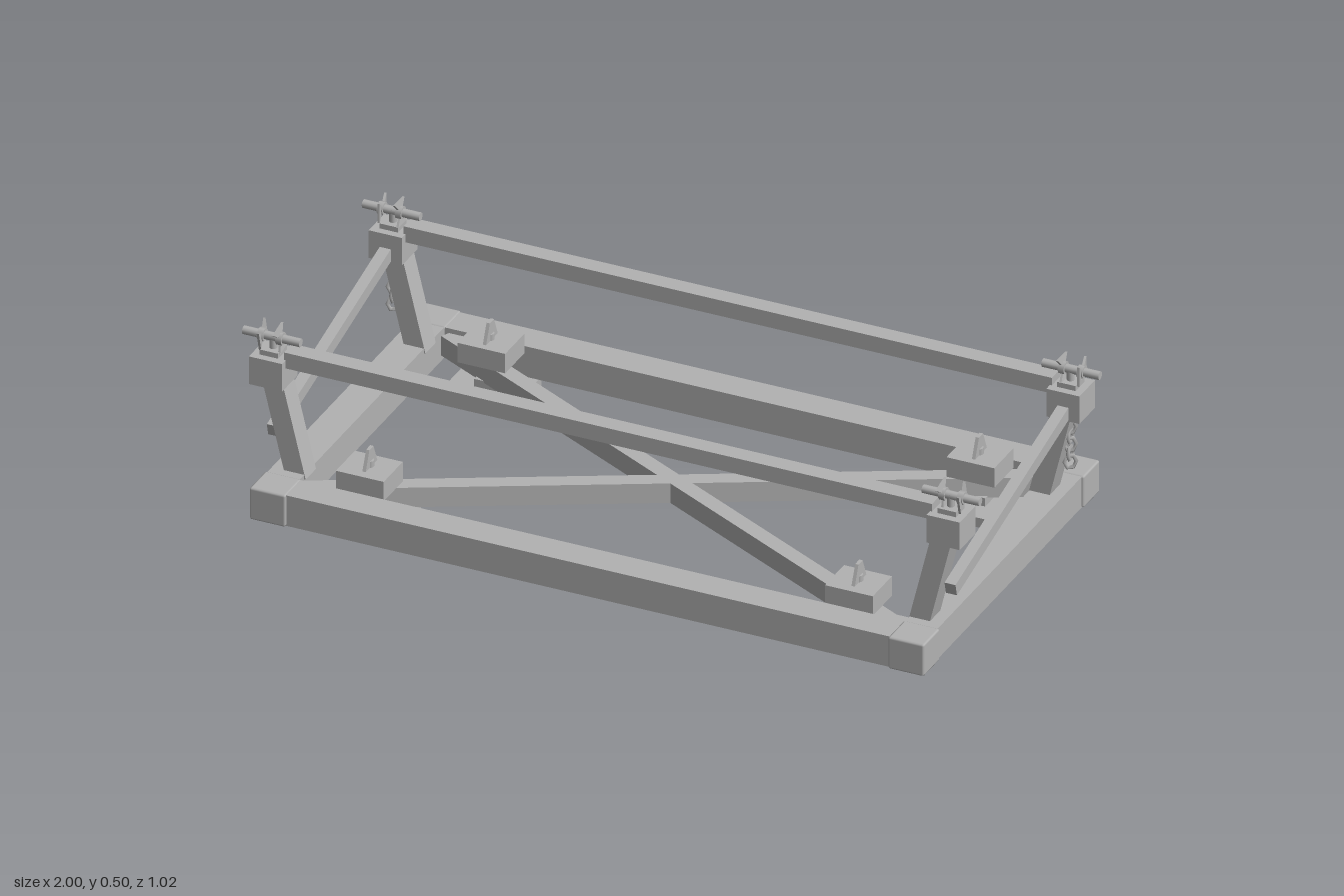
import * as THREE from 'three';
import { RoundedBoxGeometry } from 'three/addons/geometries/RoundedBoxGeometry.js';

const steel = new THREE.MeshStandardMaterial({ color: 0xb2b2b2 });
steel.name = 'grey steel';

export function createModel() {
  const model = new THREE.Group();
  model.name = 'supportFrame';

  const add = (name, geometry, x = 0, y = 0, z = 0, parent = model) => {
    const mesh = new THREE.Mesh(geometry, steel);
    mesh.name = name;
    mesh.position.set(x, y, z);
    parent.add(mesh);
    return mesh;
  };
  // Box given by its minimum and maximum corners
  const box = (name, x0, x1, y0, y1, z0, z1) =>
    add(name, new THREE.BoxGeometry(x1 - x0, y1 - y0, z1 - z0),
      (x0 + x1) / 2, (y0 + y1) / 2, (z0 + z1) / 2);

  // Thin plate cut from a polygon, facing along x
  const plate = (points, thickness) => {
    const shape = new THREE.Shape(points.map(([z, y]) => new THREE.Vector2(-z, y)));
    return new THREE.ExtrudeGeometry(shape, { depth: thickness, bevelEnabled: false })
      .translate(0, 0, -thickness / 2).rotateY(Math.PI / 2);
  };

  // Wing nut: hub with two flared wings
  const wing = plate([[0.007, 0.006], [-0.007, 0.006], [-0.027, 0.03], [0.027, 0.03]], 0.006);
  const hub = new THREE.CylinderGeometry(0.017, 0.017, 0.016, 8).rotateZ(Math.PI / 2);
  const wingNut = (x, y, z, turn, flare) => {
    const nut = new THREE.Group();
    nut.name = 'wingNut';
    nut.position.set(x, y, z);
    nut.rotation.x = turn;
    add('nutHub', hub, 0, 0, 0, nut);
    for (const a of [0, Math.PI]) {
      const w = add('nutWing', wing, 0, 0, 0, nut);
      w.rotation.set(a, 0, a ? -flare : flare);
    }
    model.add(nut);
  };

  // Rectangular base with corner blocks
  for (const s of [-1, 1]) {
    add('longBaseBeam', new THREE.BoxGeometry(1.66, 0.086, 0.084), 0, 0.07, s * 0.459);
    add('endBaseBeam', new THREE.BoxGeometry(0.088, 0.086, 0.84), s * 0.866, 0.07, 0);
    for (const t of [-1, 1]) {
      add('cornerBlock', new RoundedBoxGeometry(0.098, 0.09, 0.094, 1, 0.006),
        s * 0.867, 0.07, t * 0.461);
    }
    // Crossed floor braces
    const brace = add('crossBrace', new THREE.BoxGeometry(1.82, 0.055, 0.044), 0, 0.0725, 0);
    brace.rotation.y = s * Math.atan2(0.42, 0.82);
  }

  // Feet with clamp blocks and wing bolts
  const boltFin = plate([[-0.034, 0], [0.034, 0], [0.012, 0.052], [-0.012, 0.052]], 0.009);
  for (const s of [-1, 1]) for (const t of [-1, 1]) {
    const x = s * 0.664, z = t * 0.347;
    add('footPlate', new THREE.BoxGeometry(0.196, 0.027, 0.176), x, 0.0135, z);
    add('footStem', new THREE.BoxGeometry(0.06, 0.03, 0.06), x, 0.035, z);
    add('clampBlock', new THREE.BoxGeometry(0.13, 0.055, 0.11), x, 0.1275, t * 0.35);
    add('clampBolt', new THREE.CylinderGeometry(0.011, 0.011, 0.02, 10), x, 0.162, z);
    add('clampFin', boltFin, x, 0.154, z);
  }

  // Post leans outward: a box sheared along x
  const postGeometry = (s) => {
    const g = new THREE.BoxGeometry(0.056, 0.27, 0.06).translate(0, 0.135, 0);
    const p = g.attributes.position;
    for (let i = 0; i < p.count; i++) p.setX(i, p.getX(i) + s * 0.245 * p.getY(i));
    g.computeVertexNormals();
    return g;
  };

  const railRows = [{ z: 0.36, tilt: 0.25 }, { z: -0.33, tilt: 0 }];
  for (const { z, tilt } of railRows) {
    box('topRail', -0.88, 0.88, 0.398, 0.442, z - 0.024, z + 0.024);
    for (const s of [-1, 1]) {
      add('post', postGeometry(s), s * 0.846, 0.1, z);
      add('postHead', new THREE.BoxGeometry(0.09, 0.078, 0.09), s * 0.92, 0.382, z);
      add('headCap', new THREE.BoxGeometry(0.05, 0.016, 0.05), s * 0.92, 0.427, z);
      add('headStud', new THREE.CylinderGeometry(0.01, 0.01, 0.04, 10), s * 0.92, 0.45, z);
      // Threaded rod with its two wing nuts
      add('rod', new THREE.CylinderGeometry(0.011, 0.011, 0.155, 12).rotateZ(Math.PI / 2),
        s * 0.9225, 0.465, z);
      wingNut(s * 0.9, 0.465, z, tilt, 0.15);
      wingNut(s * 0.95, 0.465, z, tilt + Math.PI / 2, -0.15);
    }
  }

  const link = new THREE.TorusGeometry(0.015, 0.005, 4, 6).scale(1, 1.25, 1);
  for (const s of [-1, 1]) {
    // End brace from the rear post head to the foot of the front post
    const dz = 0.69, dy = 0.175;
    const brace = add('endBrace', new THREE.BoxGeometry(0.03, 0.034, Math.hypot(dz, dy)),
      s * 0.92, 0.2875, 0.0165);
    brace.rotation.x = Math.atan2(dy, dz);
    // Chain hanging beside the rear post
    for (let i = 0; i < 6; i++) {
      const l = add('chainLink', link, s * 0.919, 0.203 + i * 0.0245, -0.33);
      l.rotation.y = i % 2 ? Math.PI / 2 : Math.PI / 5;
    }
  }
  return model;
}
